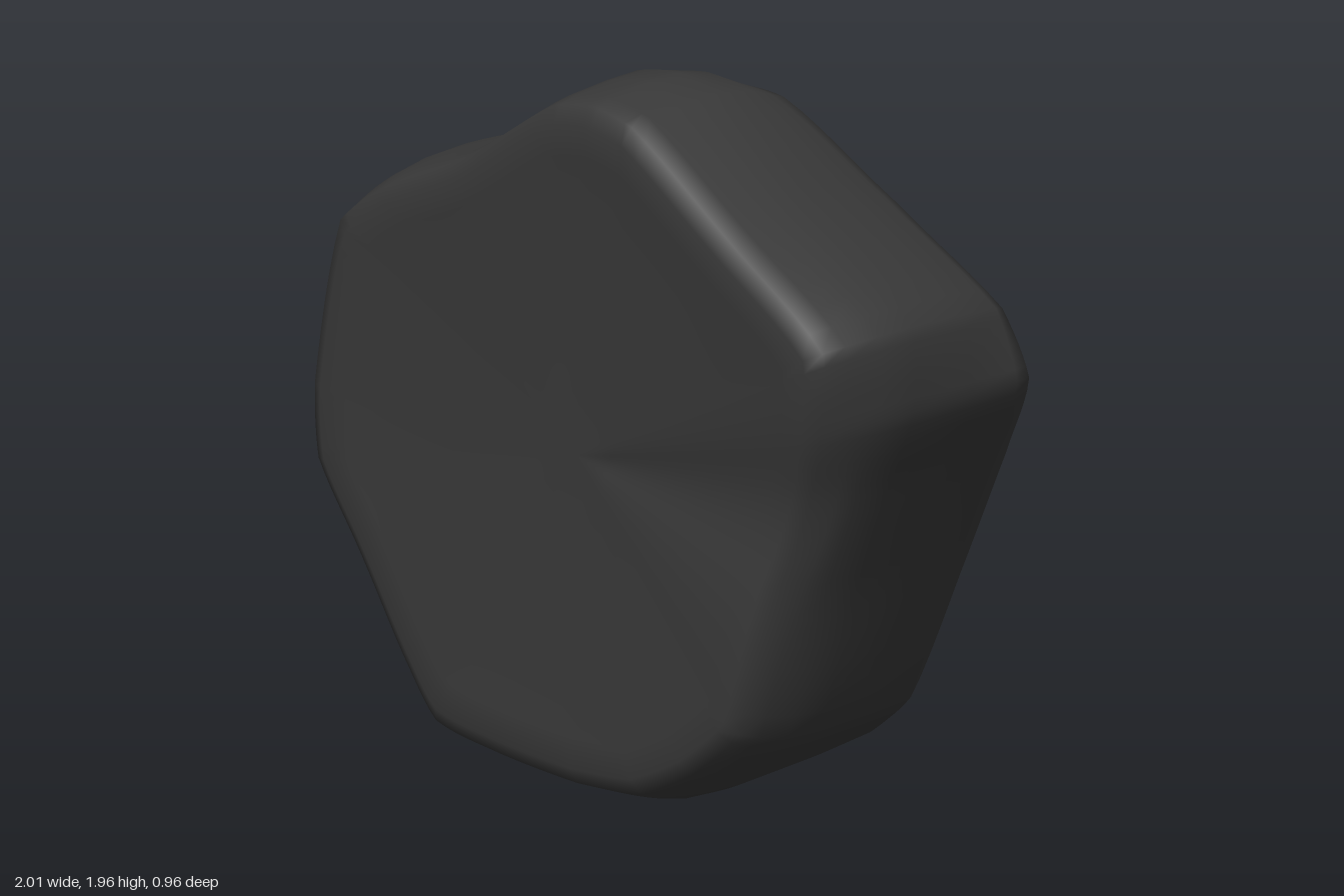
import * as THREE from 'three';
import { mergeVertices } from 'three/addons/utils/BufferGeometryUtils.js';

// Rim of the slab, counter-clockwise: x, y, front scale, then the back edge x, y, z
const RIM = [
  [-0.56, 0.05, 0.94, -0.53, 0.06, -0.25],
  [-0.30, 0.01, 0.94, -0.28, 0.03, -0.29],
  [0.00, 0.005, 0.95, 0.00, 0.03, -0.33],
  [0.25, 0.03, 0.95, 0.18, 0.06, -0.33],
  [0.45, 0.13, 0.95, 0.36, 0.13, -0.32],
  [0.64, 0.29, 0.95, 0.51, 0.25, -0.30],
  [0.78, 0.70, 0.93, 0.73, 0.70, -0.30],
  [0.90, 1.00, 0.92, 0.87, 1.00, -0.30],
  [1.00, 1.24, 0.91, 0.99, 1.24, -0.27],
  [0.99, 1.47, 0.95, 0.90, 1.41, -0.26],
  [0.60, 1.71, 0.97, 0.55, 1.63, -0.21],
  [0.25, 1.935, 0.97, 0.24, 1.87, -0.10],
  [0.10, 1.96, 0.97, 0.10, 1.88, -0.07],
  [-0.05, 1.93, 0.97, -0.05, 1.83, -0.08],
  [-0.40, 1.70, 0.97, -0.38, 1.65, -0.11],
  [-0.74, 1.56, 0.94, -0.70, 1.52, -0.12],
  [-0.89, 1.42, 0.96, -0.85, 1.39, -0.13],
  [-1.00, 0.93, 0.96, -0.97, 0.94, -0.15],
  [-0.98, 0.72, 0.97, -0.96, 0.72, -0.16],
  [-0.82, 0.48, 0.97, -0.82, 0.48, -0.19],
  [-0.68, 0.22, 0.95, -0.66, 0.20, -0.21],
];
const CY = 0.95, AROUND = 126, BACK_STEPS = 26, BACK_Z = -0.295;
const { lerp, smoothstep } = THREE.MathUtils;

// Lumps on the back: a large one, steep below and towards +x but fading out
// upwards and towards -x, and a small soft one beside it
function lump(x, y) {
  const dx = x + 0.26, dy = y - 0.88;
  const nx = dx / (dx > 0 ? 0.28 : 0.68), ny = dy / (dy > 0 ? 0.42 : 0.36);
  const r = Math.hypot(nx, ny), dome = Math.max(0, 1 - r * r);
  const side = smoothstep((nx - ny) / (r + 1e-6), -1, 1);
  const small = 1 - smoothstep(Math.hypot(x - 0.14, y - 1.08), 0, 0.24);
  return 0.195 * dome ** lerp(1.4, 0.75, side) + 0.07 * small;
}

// Front edge depth, dipping along the middle of the +x side
function frontZ(x, y) {
  const dip = 0.055 * Math.exp(-((x - 0.9) ** 2 + (y - 0.95) ** 2) / 0.1);
  return 0.46 + 0.02 * (y - CY) - 0.015 * x - dip;
}

// One meridian from the front centre, over the rim, to the back centre
function meridian(x, y, fs, bx, by, bz) {
  const pts = [];
  const add = (s, z) => pts.push([x * s, CY + (y - CY) * s, z]);
  const toBack = (t, z) => pts.push([lerp(x, bx, t), lerp(y, by, t), z]);
  const zf = frontZ(x, y);
  // slightly dished front face
  for (const s of [0, 0.15, 0.3, 0.45, 0.6, 0.75, 0.86]) {
    add(s * fs, lerp(0.45, zf, s) - 0.03 * (1 - s * s));
  }
  // rounded front edge and side wall
  add(fs * 0.95, zf - 0.003);
  add(fs, zf - 0.03);
  add(lerp(fs, 1, 0.5), zf - 0.09);
  add(lerp(fs, 1, 0.9), 0.26);
  add(1, 0.15);
  toBack(0.3, lerp(0.15, bz, 0.5));
  toBack(0.75, bz + 0.045);
  toBack(1, bz);
  // back face with its lumps
  for (let i = 1; i <= BACK_STEPS; i++) {
    const s = 1 - i / BACK_STEPS;
    const px = bx * s, py = CY + (by - CY) * s;
    pts.push([px, py, lerp(bz, BACK_Z, 1 - s * s) - lump(px, py)]);
  }
  return pts;
}

// Closed sampling of the rim: straight stretches with softened corners
function sampleRim() {
  const at = (k) => RIM[(k + RIM.length) % RIM.length];
  const smoothLoop = (c) => new THREE.CatmullRomCurve3(
    RIM.map((r) => new THREE.Vector3(r[c], r[c + 1], 0)), true, 'centripetal');
  const loops = [[0, smoothLoop(0)], [3, smoothLoop(3)]];
  return Array.from({ length: AROUND }, (_, j) => {
    const t = j / AROUND, k = Math.floor(t * RIM.length + 1e-9), f = t * RIM.length - k;
    const row = at(k).map((v, c) => lerp(v, at(k + 1)[c], f));
    for (const [c, loop] of loops) {
      const p = loop.getPoint(t);
      row[c] = lerp(row[c], p.x, 0.5);
      row[c + 1] = lerp(row[c + 1], p.y, 0.5);
    }
    return row;
  });
}

export function createModel() {
  const lines = sampleRim().map((r) => meridian(...r));
  const rows = lines[0].length;
  const index = [];
  for (let j = 0; j < AROUND; j++) {
    const a = j * rows, d = ((j + 1) % AROUND) * rows;
    for (let i = 0; i < rows - 1; i++) {
      index.push(a + i, a + i + 1, d + i + 1, a + i, d + i + 1, d + i);
    }
  }
  let geo = new THREE.BufferGeometry();
  geo.setAttribute('position', new THREE.Float32BufferAttribute(lines.flat(2), 3));
  geo.setIndex(index);
  geo = mergeVertices(geo, 1e-5);
  geo.computeVertexNormals();

  const rock = new THREE.Mesh(geo, new THREE.MeshStandardMaterial({ color: 0x393939 }));
  rock.name = 'rock';
  const group = new THREE.Group();
  group.name = 'boulder';
  group.add(rock);
  return group;
}
